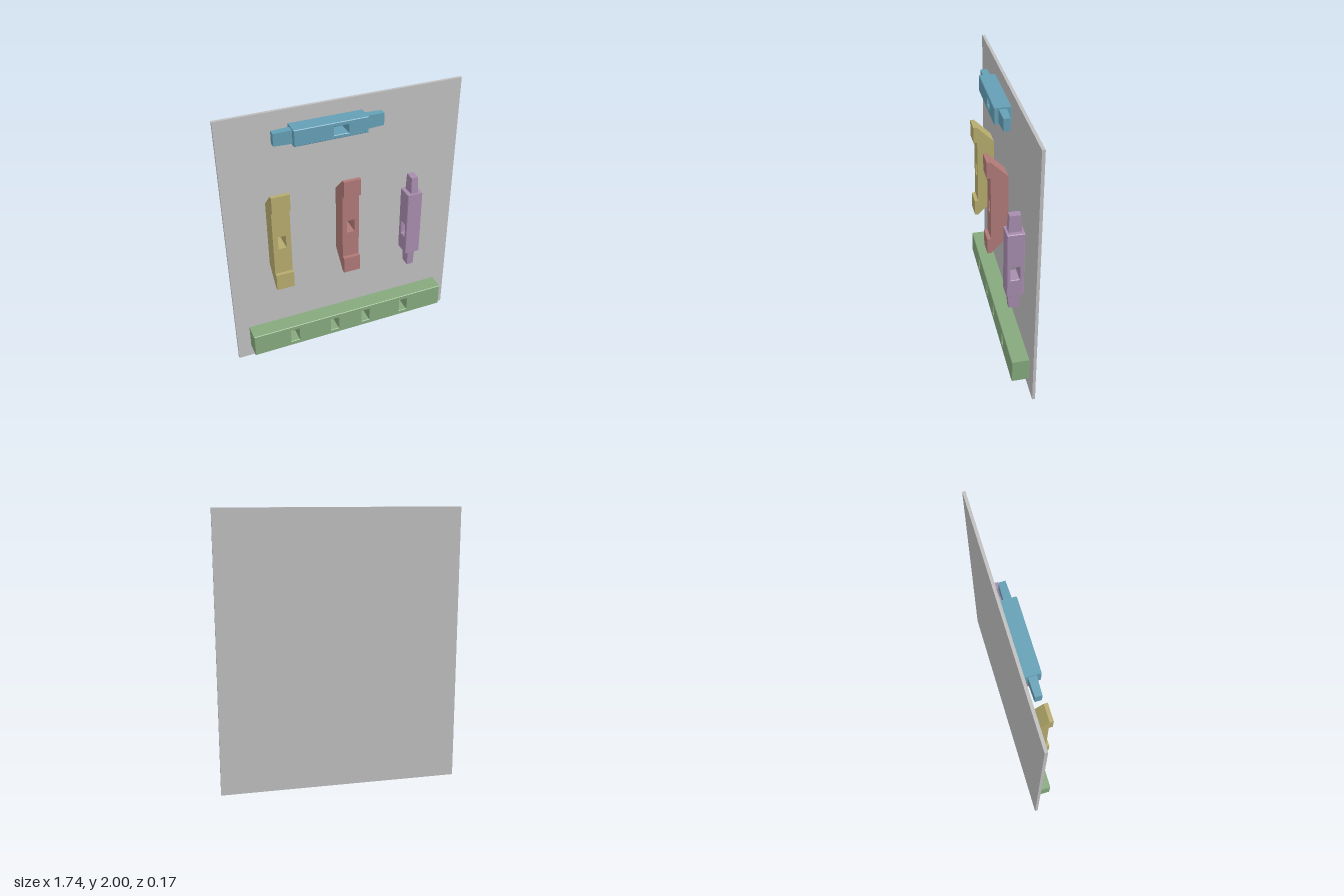
import * as THREE from 'three';

const BACK = -0.066; // front face of the backing panel

function material(name, hex) {
  const m = new THREE.MeshStandardMaterial({ color: hex });
  m.name = name;
  return m;
}

function rectPoints(x0, x1, y0, y1, reverse) {
  const p = [[x0, y0], [x1, y0], [x1, y1], [x0, y1]].map(([x, y]) => new THREE.Vector2(x, y));
  return reverse ? p.reverse() : p;
}

// Rectangular block with rectangular through-holes, centred on depth; bevel softens all rims
function mortisedBlock(outer, holes, depth, bevel) {
  const shape = new THREE.Shape(rectPoints(...outer));
  holes.forEach((h) => shape.holes.push(new THREE.Path(rectPoints(...h, true))));
  const geo = new THREE.ExtrudeGeometry(shape, {
    depth: depth - 2 * bevel, bevelEnabled: bevel > 0,
    bevelThickness: bevel, bevelSize: bevel, bevelOffset: -bevel, bevelSegments: 1,
  });
  return geo.translate(0, 0, bevel - depth / 2);
}

// Tenon growing along +x from the origin, slimming towards its tip
function tenonGeometry(length, height, depth) {
  let geo = new THREE.BoxGeometry(length, height, depth, 3, 1, 1).translate(length / 2, 0, 0);
  const pos = geo.attributes.position;
  const slim = [1, 0.95, 0.9, 0.85];
  for (let i = 0; i < pos.count; i++) {
    const s = slim[Math.round((pos.getX(i) / length) * 3)];
    pos.setXYZ(i, pos.getX(i), pos.getY(i) * (0.5 + s / 2), pos.getZ(i) * s);
  }
  geo = geo.toNonIndexed();
  geo.computeVertexNormals();
  return geo;
}

export function createModel() {
  const model = new THREE.Group();
  model.name = 'joineryBoard';

  const grey = material('panel grey', 0xbfbfbf);
  const blue = material('blue', 0x649fb5);
  const yellow = material('yellow', 0xb6ab6d);
  const red = material('red', 0xb07a78);
  const purple = material('purple', 0xa78dae);
  const green = material('green', 0x86a97e);

  function add(parent, name, geo, mat, x = 0, y = 0, z = 0) {
    const mesh = new THREE.Mesh(geo, mat);
    mesh.name = name;
    mesh.position.set(x, y, z);
    parent.add(mesh);
    return mesh;
  }

  function group(name, x, y, z) {
    const g = new THREE.Group();
    g.name = name;
    g.position.set(x, y, z);
    model.add(g);
    return g;
  }

  // Backing panel
  add(model, 'backPanel', new THREE.BoxGeometry(1.74, 2, 0.021), grey, 0, 1, -0.0765);

  // Bottom rail with four mortises
  const slots = [-0.452, -0.132, 0.125, 0.448].map((x) => [x - 0.032, x + 0.032, -0.053, 0.053]);
  add(model, 'bottomRail', mortisedBlock([-0.77, 0.77, -0.09, 0.09], slots, 0.126, 0.004),
    green, 0, 0.195, -0.003);

  // Upright posts with sloped backs and a raised lip at each end
  const frontZ = 0.06;
  const depth = frontZ - BACK;
  function post(name, x, width, mat) {
    const g = group(name, x, 1.083, 0);
    const half = 0.384, backHalf = 0.257, lip = 0.127;
    const geo = mortisedBlock([-width / 2, width / 2, -half, half],
      [[-0.029, 0.029, -0.053, 0.047]], depth, 0);
    const pos = geo.attributes.position;
    for (let i = 0; i < pos.count; i++) {
      const y = pos.getY(i);
      if (pos.getZ(i) < 0 && Math.abs(y) > 0.3) pos.setY(i, Math.sign(y) * backHalf);
    }
    geo.computeVertexNormals();
    add(g, 'postBody', geo, mat, 0, 0, (frontZ + BACK) / 2);
    for (const side of [1, -1]) {
      add(g, side > 0 ? 'upperLip' : 'lowerLip', new THREE.BoxGeometry(width, lip, 0.027), mat,
        0, side * (half - lip / 2), frontZ + 0.0135);
    }
  }
  post('yellowPost', -0.51, 0.129, yellow);
  post('redPost', -0.002, 0.124, red);

  // Tenons at both ends of a bar lying along x
  function addTenons(g, half, geo, mat) {
    for (const side of [1, -1]) {
      const t = add(g, side > 0 ? 'tenonA' : 'tenonB', geo, mat, side * half, 0, 0);
      if (side < 0) t.rotation.y = Math.PI;
    }
  }

  // Horizontal tie bar, mortised front to back
  const tie = group('tieBar', -0.13, 1.843, -0.008);
  add(tie, 'tieBody', mortisedBlock([-0.258, 0.258, -0.058, 0.058],
    [[0.015, 0.118, -0.031, 0.028]], 0.116, 0.004), blue).rotation.y = 0;
  tie.children[0].geometry.translate(0, 0, 0);
  addTenons(tie, 0.256, tenonGeometry(0.129, 0.096, 0.054), blue);

  // Upright bar, mortised side to side
  const upright = group('uprightBar', 0.503, 0.957, -0.006);
  const body = mortisedBlock([-0.06, 0.06, -0.257, 0.257],
    [[-0.033, 0.029, -0.117, -0.012]], 0.115, 0.004).rotateY(Math.PI / 2);
  add(upright, 'uprightBody', body, purple);
  const ends = new THREE.Group();
  ends.name = 'uprightTenons';
  ends.rotation.z = Math.PI / 2;
  upright.add(ends);
  addTenons(ends, 0.255, tenonGeometry(0.129, 0.054, 0.09), purple);

  return model;
}
